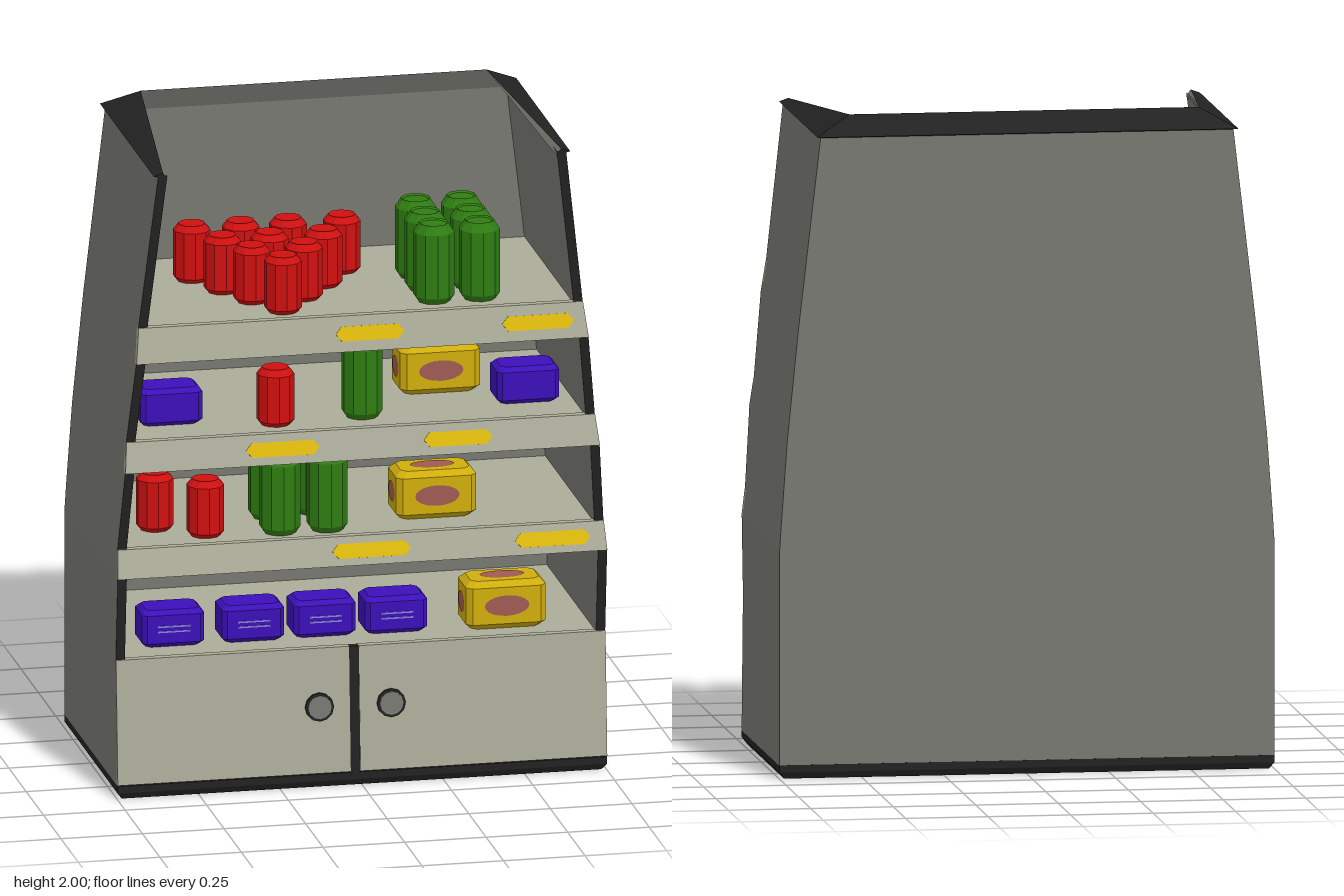
import * as THREE from 'three';

const mat = (name, color) => {
  const m = new THREE.MeshStandardMaterial({ color });
  m.name = name;
  return m;
};

// Joins equal-sized rings of points with flat quads; sides[j] picks the material of strip j.
function loft(rings, { caps = true, sides = [] } = {}) {
  const n = rings[0].length, buckets = [[], []];
  const tri = (k, ...pts) => pts.forEach((p) => buckets[k].push(...p));
  for (let j = 0; j < n; j++) {
    const k = (j + 1) % n;
    for (let i = 0; i < rings.length - 1; i++) {
      const [a, b] = [rings[i], rings[i + 1]];
      tri(sides[j] || 0, a[j], a[k], b[k], a[j], b[k], b[j]);
    }
  }
  if (caps) {
    const lo = rings[0], hi = rings[rings.length - 1];
    for (let j = 1; j < n - 1; j++) {
      tri(0, hi[0], hi[j], hi[j + 1]);
      tri(0, lo[0], lo[j + 1], lo[j]);
    }
  }
  const g = new THREE.BufferGeometry();
  g.setAttribute('position', new THREE.Float32BufferAttribute(buckets.flat(), 3));
  g.addGroup(0, buckets[0].length / 3, 0);
  if (buckets[1].length) g.addGroup(buckets[0].length / 3, buckets[1].length / 3, 1);
  g.computeVertexNormals();
  return g;
}

const rect = (xL, xR, zB, zF, y) => [[xR, y, zF], [xR, y, zB], [xL, y, zB], [xL, y, zF]];

// Half width of the tapering cabinet at a height
const taper = [[0, 0.75], [0.7, 0.75], [1.02, 0.727], [1.36, 0.693], [1.945, 0.625]];
function halfWidth(y) {
  for (let i = 1; i < taper.length; i++) {
    const [y0, w0] = taper[i - 1], [y1, w1] = taper[i];
    if (y <= y1) return w0 + ((w1 - w0) * (y - y0)) / (y1 - y0);
  }
  return 0.625;
}

function canGeometry(r, h) {
  const p = [[0, 0], [0.78, 0], [1, 0.08], [1, 0.89], [0.78, 0.97], [0.72, 1], [0.62, 0.98], [0, 0.98]];
  const g = new THREE.LatheGeometry(p.map(([a, b]) => new THREE.Vector2(a * r, b * h)), 10).toNonIndexed();
  g.computeVertexNormals();
  return g;
}

// Box with chamfered edges, standing on y = 0
function packGeometry(w, h, d, c) {
  const oct = (inset, y) => {
    const x = w / 2 - inset, z = d / 2 - inset;
    return [[x - c, y, z], [x, y, z - c], [x, y, c - z], [x - c, y, -z],
      [c - x, y, -z], [-x, y, c - z], [-x, y, z - c], [c - x, y, z]];
  };
  return loft([oct(c, 0), oct(0, c), oct(0, h - c), oct(c, h)]);
}

export function createModel() {
  const cream = mat('cream', 0xacac9a), gray = mat('wall gray', 0x787872), black = mat('trim black', 0x222222);
  const red = mat('red', 0xd01010), green = mat('green', 0x2f7d12), purple = mat('purple', 0x3c10ba);
  const gold = mat('gold', 0xd0ae0c), spot = mat('label brown', 0xa05a52);
  const tagYellow = mat('tag yellow', 0xe0bb0c), lilac = mat('lilac', 0x9080e8);
  const root = new THREE.Group();
  const add = (name, geo, material, x = 0, y = 0, z = 0, parent = root) => {
    const m = new THREE.Mesh(geo, material);
    m.name = name;
    m.position.set(x, y, z);
    parent.add(m);
    return m;
  };

  // Side and back walls as one U-shaped shell, with dark zigzag front edges
  const Z_BACK = -0.372, T = 0.028;
  const edge = [[0.04, 0.39], [0.43, 0.365], [0.69, 0.393], [0.775, 0.365], [1.02, 0.393],
    [1.11, 0.365], [1.36, 0.393], [1.455, 0.365], [1.945, 0.39]];
  const shell = edge.map(([y, z]) => {
    const w = halfWidth(y), v = w - T, zi = Z_BACK + T;
    return [[w, y, z], [w, y, Z_BACK], [-w, y, Z_BACK], [-w, y, z],
      [-v, y, z], [-v, y, zi], [v, y, zi], [v, y, z]];
  });
  add('walls', loft(shell, { caps: false, sides: [0, 0, 0, 1, 0, 0, 0, 1] }), [gray, black]);

  // Sloping rim around the open top
  const rim = [[1, 0.388, 0.61, 1.953, 0.388], [1, -0.39, 0.53, 2, -0.31],
    [-1, -0.39, 0.53, 2, -0.31], [-1, 0.388, 0.61, 1.953, 0.388]]
    .map(([s, zo, xt, yt, zt]) => [[s * xt, yt, zt], [s * 0.638, 1.943, zo],
      [s * 0.596, 1.932, Math.max(zo + 0.046, -0.344) > 0 ? zo : -0.343]]);
  add('topRim', loft(rim, { sides: [0, 0, 1] }), [black, gray]);

  // Plinth, lower cabinet and doors
  add('plinth', loft([rect(-0.735, 0.735, -0.36, 0.38, 0), rect(-0.75, 0.75, Z_BACK - 0.001, 0.393, 0.02),
    rect(-0.75, 0.75, Z_BACK - 0.001, 0.393, 0.042)]), black);
  add('lowerCabinet', loft([rect(-0.735, 0.735, -0.36, 0.38, 0.03), rect(-0.735, 0.735, -0.36, 0.355, 0.428)]), cream);
  for (const [name, a, b] of [['rightDoor', -0.75, -0.036], ['leftDoor', -0.006, 0.75]]) {
    add(name, loft([rect(a, b, 0.37, 0.395, 0.045), rect(a, b, 0.345, 0.37, 0.43)]), cream);
  }
  add('doorGap', loft([rect(-0.037, -0.005, 0.37, 0.393, 0.03), rect(-0.037, -0.005, 0.345, 0.368, 0.429)]), black);
  for (const x of [-0.13, 0.09]) {
    const knob = new THREE.Group();
    knob.name = 'doorKnob';
    knob.position.set(x, 0.25, 0.383);
    knob.rotation.x = -0.063;
    root.add(knob);
    const disc = (r, d) => new THREE.CylinderGeometry(r, r, d, 12).rotateX(Math.PI / 2);
    add('knobRing', disc(0.044, 0.014), black, 0, 0, 0, knob);
    add('knobFace', disc(0.036, 0.02), gray, 0, 0, 0, knob);
  }

  // Shelves with slanted fronts and price tags
  const shelves = [
    { y0: 0.69, y1: 0.775, tags: [[-0.09, 0.15], [0.47, 0.7]] },
    { y0: 1.02, y1: 1.11, tags: [[-0.355, -0.13], [0.19, 0.4]] },
    { y0: 1.36, y1: 1.465, tags: [[-0.08, 0.13], [0.43, 0.65]] },
  ];
  for (const { y0, y1, tags } of shelves) {
    const wide = (y, inset, zB, zF) => rect(inset - halfWidth(y), halfWidth(y) - inset, zB, zF, y);
    add('shelfBoard', loft([wide(y0, 0.014, -0.36, 0.385), wide(y1 - 0.006, 0.014, -0.36, 0.36)]), cream);
    add('shelfFront', loft([wide(y0, 0, 0.375, 0.398), wide(y1, 0, 0.345, 0.37)]), cream);
    for (const [a, b] of tags) {
      const hw = (b - a) / 2, hh = 0.022, c = 0.018;
      const shape = new THREE.Shape([[-hw, 0], [c - hw, -hh], [hw - c, -hh], [hw, 0], [hw - c, hh], [c - hw, hh]]
        .map(([x, y]) => new THREE.Vector2(x, y)));
      const geo = new THREE.ExtrudeGeometry(shape, { depth: 0.003, bevelEnabled: false });
      add('priceTag', geo, tagYellow, (a + b) / 2, (y0 + y1) / 2, 0.384).rotation.x = -Math.atan2(0.028, y1 - y0);
    }
  }

  // Cans: [x, z] on each shelf height
  const redCan = canGeometry(0.057, 0.178), greenCan = canGeometry(0.062, 0.245);
  const cans = (name, geo, material, y, spots) => spots.forEach(([x, z]) => add(name, geo, material, x, y, z));
  cans('redCan', redCan, red, 1.459, [[-0.415, -0.115], [-0.265, -0.115], [-0.12, -0.115], [0.045, -0.115],
    [-0.35, 0.02], [-0.205, 0.02], [-0.04, 0.02], [-0.285, 0.14], [-0.125, 0.14], [-0.215, 0.26]]);
  for (const x of [0.25, 0.39]) cans('greenCan', greenCan, green, 1.459, [[x, -0.015], [x, 0.12], [x, 0.245]]);
  cans('redCan', redCan, red, 1.104, [[-0.235, 0.245]]);
  cans('greenCan', greenCan, green, 1.104, [[0.035, 0.22]]);
  cans('redCan', redCan, red, 0.769, [[-0.585, 0.15], [-0.45, 0.245]]);
  cans('greenCan', greenCan, green, 0.769, [[-0.225, 0.26], [-0.08, 0.26], [-0.225, 0.1], [-0.08, 0.08]]);

  // Purple packs, the lowest row with two light stripes
  const purplePack = packGeometry(0.19, 0.115, 0.13, 0.014);
  for (const [x, y, z] of [[-0.55, 0.428, 0.2], [-0.305, 0.428, 0.2], [-0.085, 0.428, 0.195], [0.133, 0.428, 0.2],
    [-0.545, 1.105, 0.15], [0.55, 1.105, 0.145]]) {
    add('purplePack', purplePack, purple, x, y, z);
    if (y > 1) continue;
    for (const dy of [0.05, 0.066]) {
      add('packStripe', new THREE.BoxGeometry(0.1, 0.005, 0.003), lilac, x, y + dy, z + 0.066);
    }
  }

  // Gold packs with an oval label on the front, sides and top
  const goldPack = packGeometry(0.245, 0.15, 0.15, 0.018);
  const oval = (rx, ry) => new THREE.CircleGeometry(1, 20).scale(rx, ry, 1);
  for (const [x, y, z] of [[0.465, 0.428, 0.215], [0.263, 0.769, 0.16], [0.313, 1.104, -0.02]]) {
    const pack = new THREE.Group();
    pack.name = 'goldPack';
    pack.position.set(x, y, z);
    root.add(pack);
    add('packBody', goldPack, gold, 0, 0, 0, pack);
    for (const s of [1, -1]) {
      add('endLabel', oval(0.068, 0.032), spot, 0, 0.075, s * 0.077, pack).rotation.y = s > 0 ? 0 : Math.PI;
      add('sideLabel', oval(0.042, 0.032), spot, s * 0.1245, 0.075, 0, pack).rotation.y = (s * Math.PI) / 2;
    }
    add('topLabel', oval(0.068, 0.036), spot, 0, 0.152, 0, pack).rotation.x = -Math.PI / 2;
  }
  return root;
}
